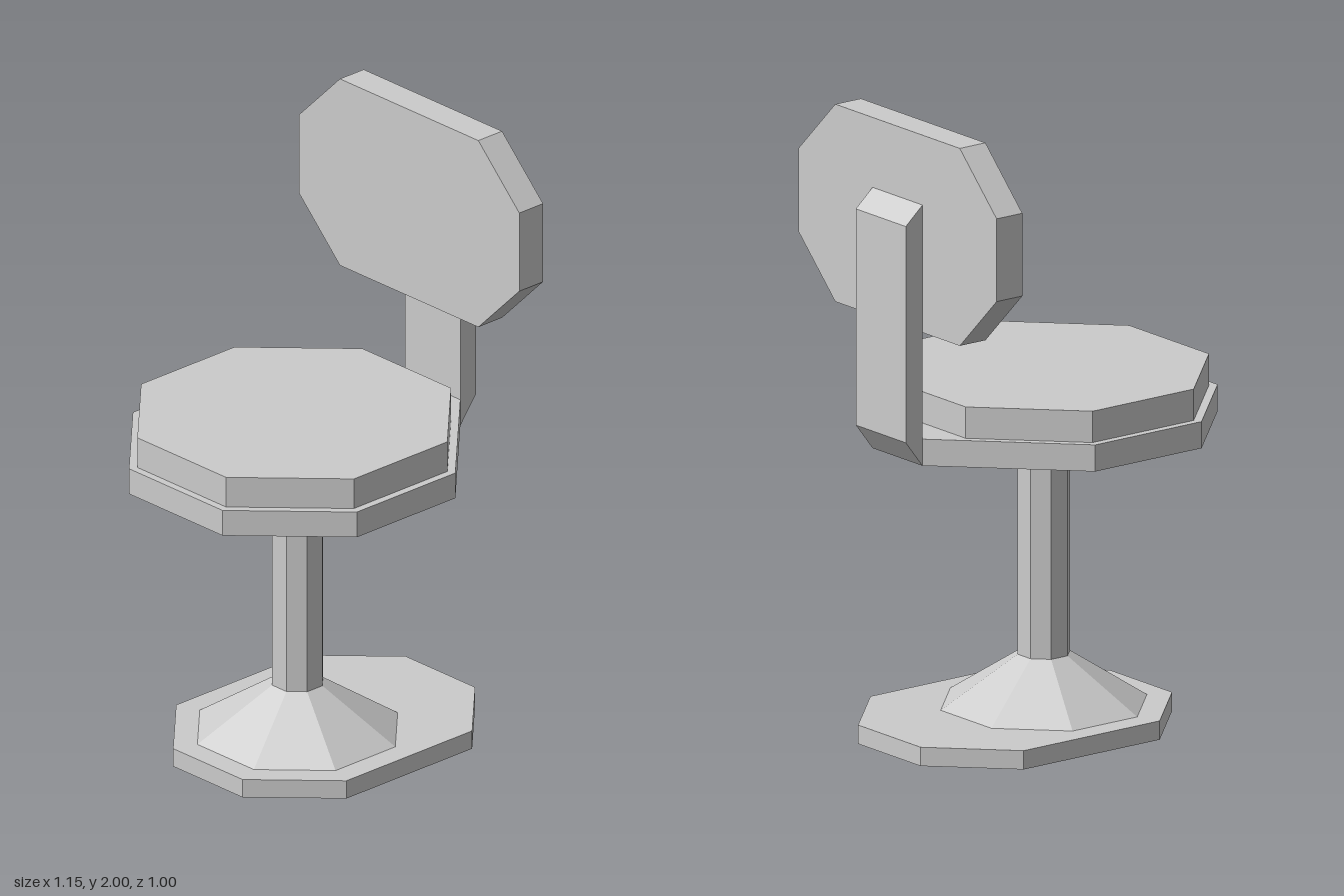
import * as THREE from 'three';

const solid = new THREE.MeshStandardMaterial({ color: 0xcccccc, flatShading: true });
const thin = new THREE.MeshStandardMaterial({ color: 0xcccccc, flatShading: true, side: THREE.DoubleSide });

// Rectangle with 45-degree corner cuts, which may differ at each x end
function octagon(x0, x1, half, cut0, cut1 = cut0) {
  return [
    [x0 + cut0, -half], [x1 - cut1, -half], [x1, cut1 - half], [x1, half - cut1],
    [x1 - cut1, half], [x0 + cut0, half], [x0, half - cut0], [x0, cut0 - half],
  ];
}

function extrude(points, depth) {
  const shape = new THREE.Shape(points.map(([x, y]) => new THREE.Vector2(x, y)));
  return new THREE.ExtrudeGeometry(shape, { depth, bevelEnabled: false });
}

// Horizontal slab from y0 to y1
const slab = (points, y0, y1) => extrude(points, y1 - y0).rotateX(-Math.PI / 2).translate(0, y0, 0);

// Open shell through a stack of [outline, height] loops
function shell(loops) {
  const n = loops[0][0].length;
  const positions = loops.flatMap(([pts, y]) => pts.flatMap(([x, z]) => [x, y, z]));
  const index = [];
  for (let k = 0; k < loops.length - 1; k++) {
    for (let i = 0; i < n; i++) {
      const a = k * n + i, b = k * n + (i + 1) % n;
      index.push(a, a + n, b, b, a + n, b + n);
    }
  }
  const indexed = new THREE.BufferGeometry();
  indexed.setAttribute('position', new THREE.Float32BufferAttribute(positions, 3));
  indexed.setIndex(index);
  const geometry = indexed.toNonIndexed();
  geometry.computeVertexNormals();
  return geometry;
}

export function createModel() {
  const group = new THREE.Group();
  const add = (name, geometry, material = solid) => {
    const mesh = new THREE.Mesh(geometry, material);
    mesh.name = name;
    group.add(mesh);
  };

  // Hollow foot, flared collar and tubular column share matching outlines
  const foot = octagon(-0.44, 0.54, 0.38, 0.225);
  const flare = octagon(-0.365, 0.241, 0.303, 0.177);
  const tube = octagon(-0.139, 0.015, 0.077, 0.045);
  add('footPlate', shell([[foot, 0], [foot, 0.06], [flare, 0.06]]), thin);
  add('flaredCollar', shell([[flare, 0.06], [tube, 0.22]]), thin);
  add('column', shell([[tube, 0.22], [tube, 0.945]]), thin);

  // Seat plate narrows toward the back post; cushion sits on top
  add('seatPlate', slab(octagon(-0.575, 0.508, 0.5, 0.291, 0.377), 0.945, 1.03));
  add('seatCushion', slab(octagon(-0.55, 0.398, 0.475, 0.277), 1.03, 1.13));

  // Upright post, profiled in side elevation
  const profile = [[0.508, 0.945], [0.573, 1.03], [0.573, 1.72], [0.508, 1.777]];
  add('backPost', extrude(profile, 0.248).translate(0, 0, -0.124));

  // Octagonal backrest standing across z
  const back = extrude(octagon(-0.492, 0.492, 0.315, 0.183), 0.1);
  add('backrest', back.rotateY(Math.PI / 2).translate(0.408, 1.685, 0));

  return group;
}
